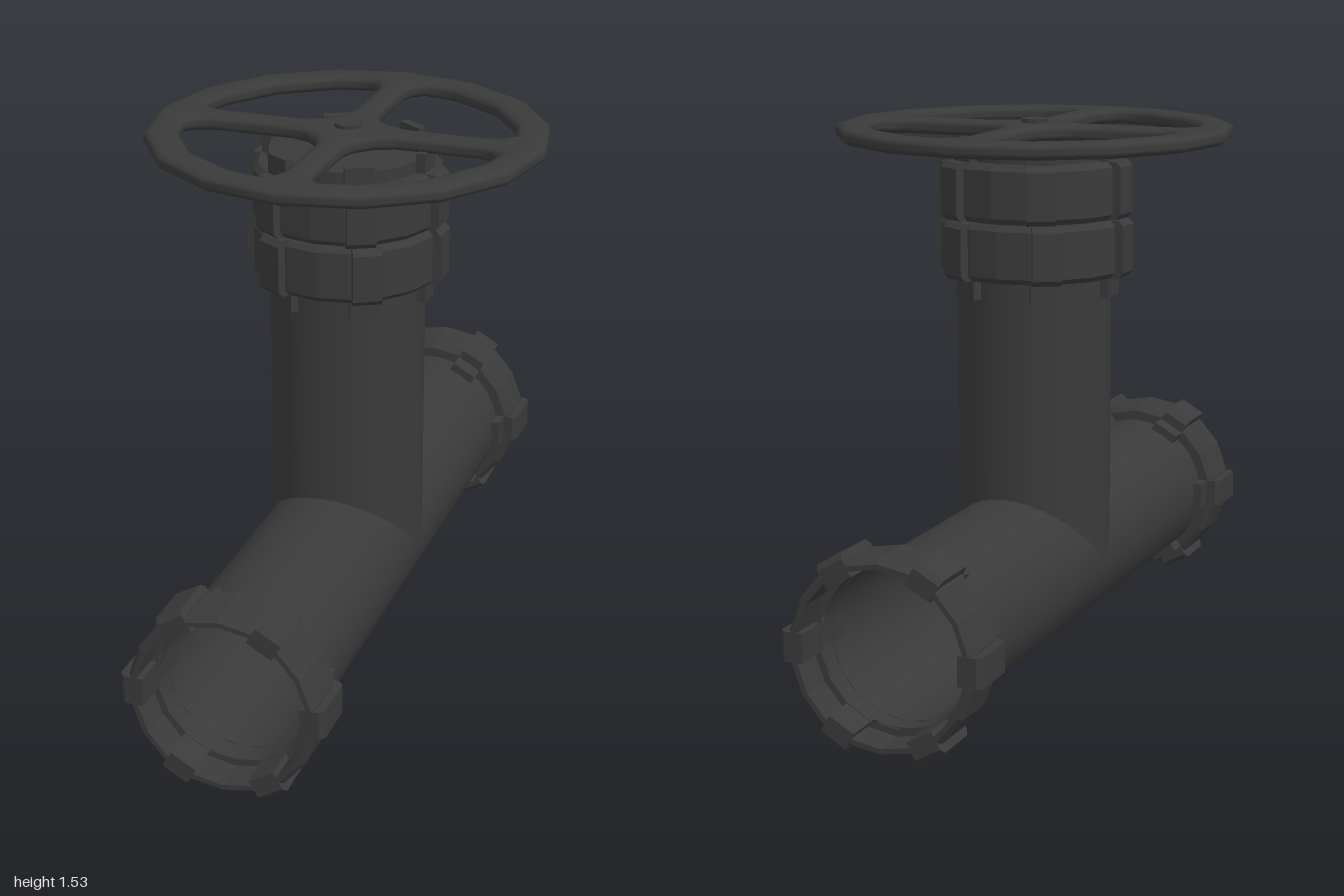
import * as THREE from 'three';
import { toCreasedNormals } from 'three/addons/utils/BufferGeometryUtils.js';

const AXIS = 0.27;   // height of the main pipe's axis
const R = 0.217;     // pipe radius
const COLOR = 0x3a3a3a;
const smooth = new THREE.MeshStandardMaterial({ color: COLOR, side: THREE.DoubleSide });
const faceted = new THREE.MeshStandardMaterial({ color: COLOR, side: THREE.DoubleSide, flatShading: true });

function part(name, geometry, material, parent) {
  const mesh = new THREE.Mesh(geometry, material);
  mesh.name = name;
  parent.add(mesh);
  return mesh;
}

const points = (list) => list.map(([x, y]) => new THREE.Vector2(x, y));

// Collar ring with six lugs; axis along y, lug tails at y = 0, mouth at y = 0.215
function createCoupling(name) {
  const group = new THREE.Group();
  group.name = name;
  const ring = points([
    [R, 0.055], [0.247, 0.055], [0.262, 0.07], [0.262, 0.2], [0.25, 0.215],
    [0.236, 0.215], [0.236, 0.12], [R, 0.12],
  ]);
  part('collar', new THREE.LatheGeometry(ring, 18), faceted, group);

  const width = 0.08;
  const lugShape = new THREE.Shape(points([
    [R - 0.003, 0], [0.24, 0], [0.24, 0.055], [0.268, 0.055], [0.282, 0.07],
    [0.282, 0.2], [0.268, 0.215], [R, 0.215],
  ]));
  const lug = new THREE.ExtrudeGeometry(lugShape, { depth: width, bevelEnabled: false });
  lug.translate(0, 0, -width / 2);
  for (let i = 0; i < 6; i++) part('lug', lug, faceted, group).rotation.y = i * Math.PI / 3;
  return group;
}

// Flat sixteen-sided wheel with four filleted openings between the spokes
function createWheel() {
  const rim = [];
  for (let i = 0; i < 16; i++) {
    const a = i * Math.PI / 8;
    rim.push([0.555 * Math.cos(a), 0.555 * Math.sin(a)]);
  }
  const shape = new THREE.Shape(points(rim));
  const opening = [
    [0.04, 0.15], [0.06, 0.1], [0.1, 0.06], [0.15, 0.04], [0.38, 0.04], [0.42, 0.052],
    [0.448, 0.08], [0.425, 0.176], [0.325, 0.325], [0.176, 0.425], [0.08, 0.448],
    [0.052, 0.42], [0.04, 0.38],
  ];
  for (let q = 0; q < 4; q++) {
    const c = Math.round(Math.cos(q * Math.PI / 2)), s = Math.round(Math.sin(q * Math.PI / 2));
    shape.holes.push(new THREE.Path(points(opening.map(([x, y]) => [c * x - s * y, s * x + c * y]))));
  }
  const geometry = new THREE.ExtrudeGeometry(shape, {
    depth: 0.009, bevelThickness: 0.018, bevelSize: 0.026, bevelOffset: -0.026, bevelSegments: 3,
  });
  geometry.translate(0, 0, -0.0045);
  geometry.rotateX(-Math.PI / 2);
  return toCreasedNormals(geometry, 1.1);
}

export function createModel() {
  const model = new THREE.Group();
  model.name = 'valve';

  // Main pipe along z
  const main = part('mainPipe', new THREE.CylinderGeometry(R, R, 1.78, 36, 1, true), smooth, model);
  main.rotation.x = Math.PI / 2;
  main.position.y = AXIS;

  // Upright pipe, its foot mitred onto the main pipe
  const top = 1.462;
  const uprightGeometry = new THREE.CylinderGeometry(R, R, top - AXIS, 36, 1, true);
  uprightGeometry.translate(0, (top + AXIS) / 2, 0);
  const p = uprightGeometry.attributes.position;
  for (let i = 0; i < p.count; i++) {
    if (p.getY(i) < 0.5) p.setY(i, AXIS + Math.abs(p.getZ(i)));
  }
  part('uprightPipe', uprightGeometry, smooth, model);
  const cap = part('cap', new THREE.CircleGeometry(R, 36), smooth, model);
  cap.rotation.x = -Math.PI / 2;
  cap.position.y = top;

  // Couplings at both mouths of the main pipe
  for (const side of [1, -1]) {
    const end = createCoupling(side > 0 ? 'frontCoupling' : 'backCoupling');
    end.rotation.x = side * Math.PI / 2;
    end.position.set(0, AXIS, side * 0.785);
    model.add(end);
  }

  // Pair of facing couplings at the top of the upright
  const lower = createCoupling('lowerCoupling');
  lower.position.y = 1.048;
  const upper = createCoupling('upperCoupling');
  upper.rotation.set(Math.PI, 0.06, 0);
  upper.position.y = 1.482;
  model.add(lower, upper);

  // Handwheel and its stem
  part('handwheel', createWheel(), smooth, model).position.y = 1.498;
  part('stem', new THREE.CylinderGeometry(0.037, 0.037, 0.13, 12), faceted, model).position.y = 1.467;

  return model;
}
